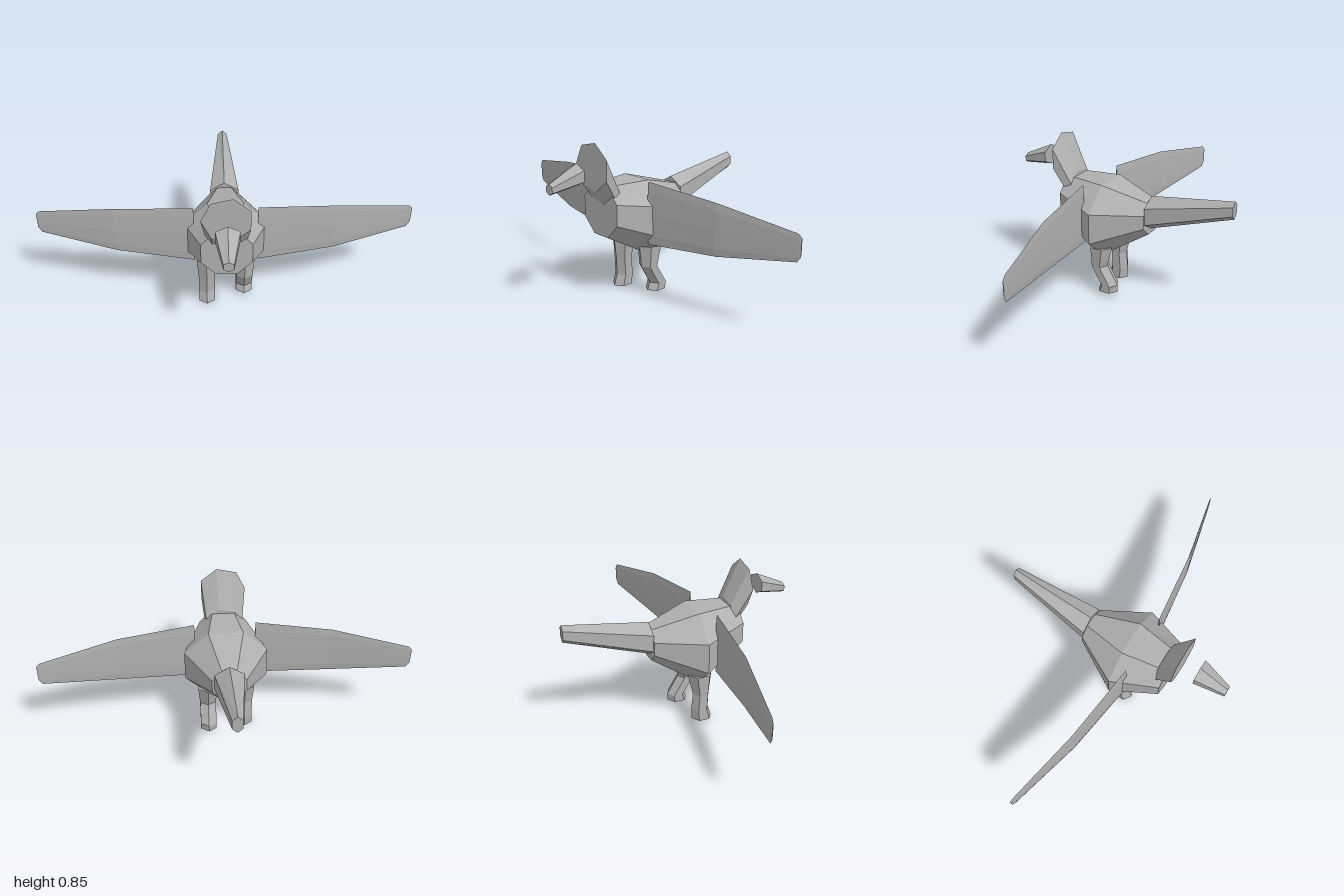
import * as THREE from 'three';

const grey = new THREE.MeshStandardMaterial({ color: 0xb0b0b0, flatShading: true });
grey.name = 'plain grey';

// Closed loft through n-sided rings [centre x, y, z, half-size u, half-size v].
// axis is the direction the rings are stacked along; start is the angle of the first corner.
function loft(name, axis, n, start, rings) {
  const points = rings.map(([x, y, z, u, v]) => Array.from({ length: n }, (_, i) => {
    const a = start + (i / n) * Math.PI * 2;
    const p = Math.cos(a) * u, q = Math.sin(a) * v;
    if (axis === 'z') return new THREE.Vector3(x + p, y + q, z);
    if (axis === 'y') return new THREE.Vector3(x + p, y, z + q);
    return new THREE.Vector3(x, y + p, z + q);
  }));
  const tris = [];
  const last = points.length - 1;
  for (let r = 0; r < last; r++) {
    for (let i = 0; i < n; i++) {
      const j = (i + 1) % n;
      const [a, b, c, d] = [points[r][i], points[r][j], points[r + 1][j], points[r + 1][i]];
      tris.push([a, b, c], [a, c, d]);
    }
  }
  for (let i = 1; i < n - 1; i++) {
    tris.push([points[0][0], points[0][i + 1], points[0][i]]);
    tris.push([points[last][0], points[last][i], points[last][i + 1]]);
  }
  // Turn the faces outward if the enclosed volume comes out negative
  const cross = new THREE.Vector3();
  const volume = tris.reduce((s, [a, b, c]) => s + a.dot(cross.crossVectors(b, c)), 0);
  const corners = tris.flatMap(([a, b, c]) => (volume < 0 ? [a, c, b] : [a, b, c]));
  const geometry = new THREE.BufferGeometry().setFromPoints(corners);
  geometry.computeVertexNormals();
  const mesh = new THREE.Mesh(geometry, grey);
  mesh.name = name;
  return mesh;
}

export function createModel() {
  const bird = new THREE.Group();
  bird.name = 'bird';
  const oct = 1 / Math.cos(Math.PI / 8);

  // Barrel-shaped body with eight sides
  bird.add(loft('body', 'z', 8, Math.PI / 8, [
    [0, 0.488, 0.325, 0.13 * oct, 0.133 * oct],
    [0, 0.422, 0.08, 0.225 * oct, 0.203 * oct],
    [0, 0.467, -0.17, 0.09 * oct, 0.088 * oct],
  ]));

  // Head flaring forward to a flat face
  bird.add(loft('head', 'z', 7, Math.PI, [
    [0, 0.55, 0.277, 0.105, 0.1],
    [0, 0.723, 0.375, 0.127, 0.127],
  ]));

  // Beak, held clear of the face
  bird.add(loft('beak', 'z', 6, Math.PI / 2, [
    [0, 0.701, 0.467, 0.069, 0.056],
    [0, 0.652, 0.632, 0.029, 0.028],
  ]));

  // Tapered tail
  bird.add(loft('tail', 'z', 6, Math.PI / 2, [
    [0, 0.493, -0.167, 0.09, 0.093],
    [0, 0.608, -0.63, 0.03, 0.048],
  ]));

  // Legs: the left one is bent back, the right one is straighter
  const legs = {
    leftLeg: [1, [0.28, 0.083, 0.07], [0.165, 0.092, 0.048], [0.06, 0.03, 0.05], [0.02, 0.039, 0.058]],
    rightLeg: [-1, [0.28, 0.085, 0.07], [0.16, 0.092, 0.048], [0.06, 0.086, 0.05], [0, 0.098, 0.058]],
  };
  for (const [name, [side, ...joints]] of Object.entries(legs)) {
    bird.add(loft(name, 'y', 6, Math.PI / 2,
      joints.map(([y, z, r], i) => [side * 0.103, y, z, i === 0 ? 0.061 : 0.051, r])));
  }

  // Thin swept wings
  for (const [name, side] of [['leftWing', 1], ['rightWing', -1]]) {
    bird.add(loft(name, 'x', 8, 0, [
      [side * 0.165, 0.474, 0.148, 0.166, 0.005],
      [side * 0.58, 0.474, 0.094, 0.133, 0.006],
      [side * 0.982, 0.47, 0.004, 0.067, 0.003],
      [side, 0.475, 0, 0.044, 0.002],
    ]));
  }
  return bird;
}
